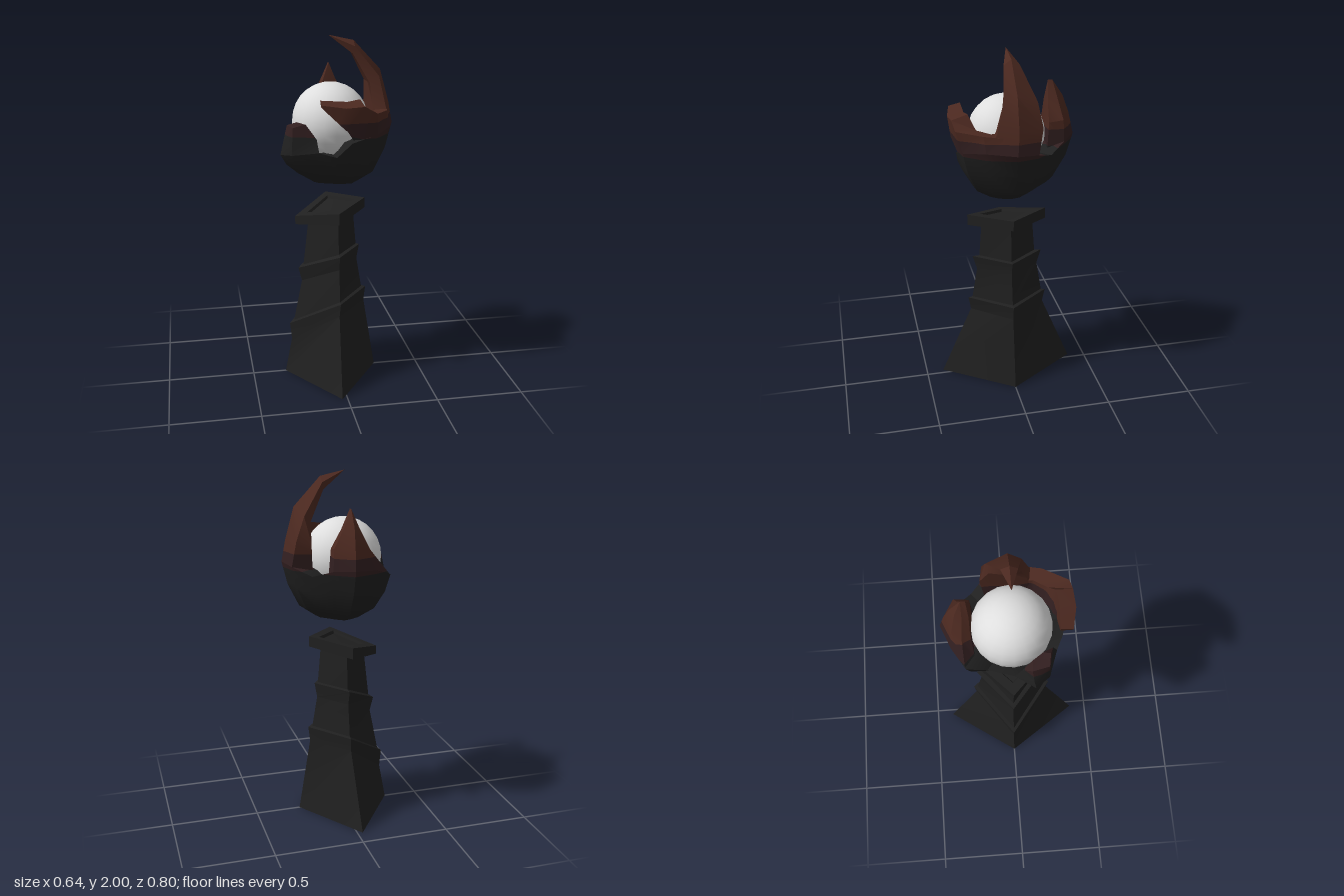
import * as THREE from 'three';
import { toCreasedNormals } from 'three/addons/utils/BufferGeometryUtils.js';

const mat = (name, color) => {
  const m = new THREE.MeshStandardMaterial({ color });
  m.name = name;
  return m;
};

// Triangles of a loft through rings of [x, y, z] corners, wound outwards
function loftTriangles(rings, openBase) {
  const tris = [], n = rings[0].length;
  const pts = rings.map(r => r.map(p => new THREE.Vector3(...p)));
  const add = (a, b, c) => {
    const area = b.clone().sub(a).cross(c.clone().sub(a)).length();
    if (area > 1e-7) tris.push([a, b, c]);
  };
  for (let k = 0; k < pts.length - 1; k++)
    for (let i = 0; i < n; i++) {
      const j = (i + 1) % n;
      add(pts[k][i], pts[k][j], pts[k + 1][j]);
      add(pts[k][i], pts[k + 1][j], pts[k + 1][i]);
    }
  const cap = (r, flip) => {
    const c = r.reduce((s, p) => s.add(p), new THREE.Vector3()).divideScalar(n);
    for (let i = 0; i < n; i++) {
      const j = (i + 1) % n;
      if (flip) add(c, r[j], r[i]); else add(c, r[i], r[j]);
    }
  };
  if (!openBase) cap(pts[0], true);
  cap(pts[pts.length - 1], false);
  const mid = pts[0].reduce((s, p) => s.add(p), new THREE.Vector3()).divideScalar(n);
  let volume = 0;
  for (const [a, b, c] of tris)
    volume += a.clone().sub(mid).dot(b.clone().sub(mid).cross(c.clone().sub(mid)));
  return volume < 0 ? tris.map(([a, b, c]) => [a, c, b]) : tris;
}

// Keep the part of a polygon on one side of a level
function clip(poly, y, sign) {
  const out = [];
  poly.forEach((a, i) => {
    const b = poly[(i + 1) % poly.length];
    const da = (a.y - y) * sign, db = (b.y - y) * sign;
    if (da >= 0) out.push(a);
    if (da * db < 0) out.push(a.clone().lerp(b, da / (da - db)));
  });
  return out;
}

// Loft mesh whose material changes at the given heights
function loftMesh(name, rings, materials, { levels = [], crease = 0.3, openBase = false } = {}) {
  const tris = loftTriangles(rings, openBase), pos = [];
  let geo = new THREE.BufferGeometry();
  const limits = [-9, ...levels, 9];
  materials.forEach((m, k) => {
    const start = pos.length / 3;
    for (const t of tris) {
      const p = clip(clip(t, limits[k], 1), limits[k + 1], -1);
      for (let i = 1; i < p.length - 1; i++)
        for (const v of [p[0], p[i], p[i + 1]]) pos.push(v.x, v.y, v.z);
    }
    geo.addGroup(start, pos.length / 3 - start, k);
  });
  geo.setAttribute('position', new THREE.Float32BufferAttribute(pos, 3));
  geo = toCreasedNormals(geo, crease);
  const mesh = new THREE.Mesh(geo, materials);
  mesh.name = name;
  return mesh;
}

// Diamond section: left edge, front/back edges, right edge
const diamond = ([xl, yl, xm, ym, zm, xr, yr]) =>
  [[xl, yl, 0], [xm, ym, zm], [xr, yr, 0], [xm, ym, -zm]];

export function createModel() {
  const group = new THREE.Group();
  const black = mat('charcoal', 0x202020);
  black.side = THREE.DoubleSide;
  const maroon = mat('dark maroon', 0x321f20);
  const brown = mat('red brown', 0x4c2920);
  const pale = mat('pale grey', 0xdedede);

  // Stepped, slanted pedestal, hollow underneath
  group.add(loftMesh('pedestal', [
    [-0.305, 0, -0.03, 0, 0.4, 0.24, 0],
    [-0.265, 0.21, -0.015, 0.43, 0.22, 0.17, 0.43],
    [-0.275, 0.31, -0.01, 0.51, 0.235, 0.18, 0.515],
    [-0.25, 0.33, -0.01, 0.515, 0.21, 0.155, 0.52],
    [-0.2, 0.58, -0.01, 0.7, 0.18, 0.125, 0.7],
    [-0.22, 0.66, -0.01, 0.785, 0.205, 0.14, 0.785],
    [-0.19, 0.68, -0.01, 0.787, 0.165, 0.12, 0.79],
    [-0.16, 0.94, -0.01, 0.99, 0.15, 0.1, 1.02],
  ].map(diamond), [black], { openBase: true }));

  // Tilted cap slab with a shallow recess
  group.add(loftMesh('pedestalCap', [
    [-0.235, 0.93, -0.02, 0.985, 0.23, 0.17, 1.01],
    [-0.235, 0.98, -0.02, 1.05, 0.23, 0.17, 1.07],
    [-0.165, 0.998, -0.02, 1.048, 0.155, 0.11, 1.062],
    [-0.155, 0.985, -0.02, 1.032, 0.145, 0.1, 1.046],
  ].map(diamond), [black]));

  // Orb
  const orb = new THREE.Mesh(new THREE.SphereGeometry(0.215, 20, 14), pale);
  orb.name = 'orb';
  orb.position.set(-0.03, 1.53, 0);
  group.add(orb);

  // Palm: bowl under the orb, rim dips between the claws
  const bands = [black, maroon, brown], levels = [1.48, 1.57];
  const rim = [
    [0.32, 1.51, 0.01], [0.27, 1.52, 0.17], [0.18, 1.5, 0.28], [0.04, 1.46, 0.295],
    [-0.04, 1.38, 0.275], [-0.13, 1.4, 0.235], [-0.27, 1.38, 0.185], [-0.325, 1.37, 0.11],
    [-0.26, 1.4, 0], [-0.215, 1.4, -0.14], [-0.225, 1.46, -0.25], [-0.12, 1.5, -0.32],
    [0.01, 1.51, -0.372], [0.11, 1.5, -0.295], [0.2, 1.46, -0.2], [0.29, 1.5, -0.11],
  ];
  const shrink = (s, y) => rim.map(p => [p[0] * s, y, p[2] * s]);
  const belly = rim.map(([x, y, z]) => [x * 0.9, (y + 1.255) / 2, z * 0.9]);
  const inner = rim.map(([x, y, z]) => {
    const k = 0.15 / Math.hypot(x + 0.03, z);
    return [-0.03 + (x + 0.03) * k, y - 0.02, z * k];
  });
  group.add(loftMesh('palm',
    [shrink(0.03, 1.165), shrink(0.4, 1.19), shrink(0.7, 1.255), belly, rim, inner],
    bands, { levels, crease: 0.55 }));

  // Claws: lofts that rise flush from the rim of the palm
  const claws = {
    tallClaw: [
      [rim[0], rim[1], [0.19, 1.48, 0.12], [0.185, 1.48, 0], [0.18, 1.48, -0.13], rim[15]],
      [[0.3, 1.63, 0], [0.26, 1.62, 0.11], [0.19, 1.62, 0.1],
        [0.18, 1.62, 0], [0.19, 1.63, -0.15], [0.27, 1.64, -0.135]],
      [[0.25, 1.81, 0], [0.23, 1.78, 0.07], [0.18, 1.74, 0.065],
        [0.18, 1.74, 0], [0.18, 1.74, -0.1], [0.22, 1.77, -0.115]],
      [[0.1, 1.97, 0], [0.1, 1.94, 0.042], [0.09, 1.9, 0.03],
        [0.09, 1.9, 0], [0.09, 1.9, -0.03], [0.1, 1.94, -0.045]],
      Array(6).fill([-0.04, 2, 0]),
    ],
    frontClaw: [
      [[0.28, 1.6, 0.06], [0.3, 1.515, 0.07], [0.19, 1.46, 0.06], [0.19, 1.6, 0.06]],
      [[0.25, 1.61, 0.18], rim[1], [0.17, 1.46, 0.13], [0.19, 1.6, 0.13]],
      [[0.17, 1.62, 0.315], rim[2], [0.11, 1.46, 0.19], [0.14, 1.61, 0.2]],
      [[0.1, 1.66, 0.325], [0.1, 1.48, 0.295], [0.06, 1.46, 0.22], [0.09, 1.685, 0.235]],
      [[0, 1.655, 0.332], [0, 1.535, 0.315], [0.02, 1.52, 0.235], [0.02, 1.675, 0.245]],
      [[-0.125, 1.67, 0.305], [-0.12, 1.65, 0.305], [-0.12, 1.65, 0.24], [-0.125, 1.685, 0.24]],
    ],
    backClaw: [
      [rim[12], rim[13], [0.11, 1.46, -0.2], [0, 1.47, -0.2], [-0.16, 1.46, -0.2], [-0.215, 1.465, -0.255], rim[11]],
      [[0.005, 1.63, -0.345], [0.105, 1.62, -0.29], [0.1, 1.61, -0.21],
        [0, 1.62, -0.205], [-0.085, 1.6, -0.215], [-0.105, 1.6, -0.26], [-0.08, 1.62, -0.31]],
      [[0, 1.73, -0.31], [0.045, 1.725, -0.27], [0.045, 1.71, -0.215],
        [0, 1.71, -0.21], [-0.04, 1.71, -0.215], [-0.045, 1.72, -0.25], [-0.03, 1.73, -0.285]],
      [[0, 1.82, -0.25], [0, 1.82, -0.25], [0, 1.82, -0.225],
        [0, 1.82, -0.225], [0, 1.82, -0.225], [0, 1.82, -0.25], [0, 1.82, -0.25]],
    ],
    shortClaw: [
      [rim[7], rim[6], rim[5], [-0.17, 1.38, 0.13], rim[8]],
      [[-0.31, 1.43, 0.1], [-0.27, 1.43, 0.188], [-0.14, 1.47, 0.21],
        [-0.17, 1.47, 0.15], [-0.25, 1.46, 0.04]],
      [[-0.285, 1.53, 0.09], [-0.265, 1.53, 0.18], [-0.2, 1.55, 0.19],
        [-0.19, 1.54, 0.15], [-0.23, 1.545, 0.095]],
    ],
  };
  for (const [name, rings] of Object.entries(claws))
    group.add(loftMesh(name, rings, bands, { levels, crease: 0.45 }));

  return group;
}
